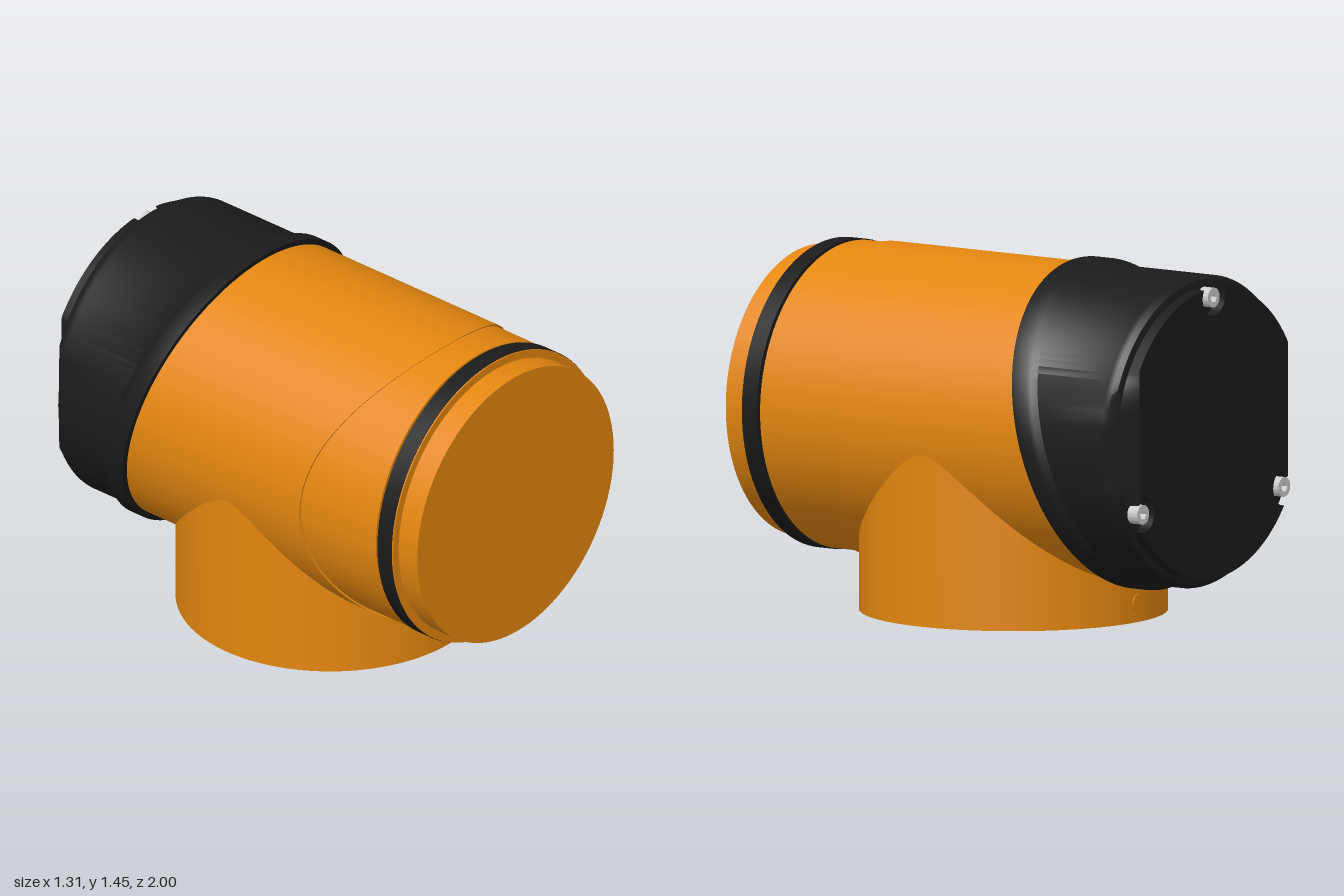
import * as THREE from 'three';
import { toCreasedNormals } from 'three/addons/utils/BufferGeometryUtils.js';

const orange = new THREE.MeshStandardMaterial({ color: 0xe3860f });
const black = new THREE.MeshStandardMaterial({ color: 0x1b1b1b });
const steel = new THREE.MeshStandardMaterial({ color: 0xcccccc });

const SLANT = 0.267; // lean of the cap's open edge
const AXIS_Y = 0.8; // height of the horizontal barrel

// Move every vertex of a geometry by a rule.
function reshape(geometry, rule) {
  const pos = geometry.attributes.position;
  const v = new THREE.Vector3();
  for (let i = 0; i < pos.count; i++) {
    v.fromBufferAttribute(pos, i);
    rule(v);
    pos.setXYZ(i, v.x, v.y, v.z);
  }
  return geometry;
}

function addMesh(parent, name, geometry, material) {
  const mesh = new THREE.Mesh(geometry, material);
  mesh.name = name;
  parent.add(mesh);
  return mesh;
}

// Round part from [radius, height] points, about y or laid along z.
function turned(profile, alongZ = true, rule = null) {
  const points = profile.map(([r, h]) => new THREE.Vector2(r, h));
  const g = new THREE.LatheGeometry(points, 128);
  if (alongZ) g.rotateX(Math.PI / 2);
  if (rule) reshape(g, rule);
  return toCreasedNormals(g, 0.6);
}

// Two flat chamfers on the sides of the cap's back.
function chamfer(v) {
  if (v.z > -0.899) return;
  const limit = 0.632 + (v.z + 0.9) * 1.3;
  v.x = THREE.MathUtils.clamp(v.x, -limit, limit);
}

export function createModel() {
  const model = new THREE.Group();
  const barrel = new THREE.Group();
  barrel.name = 'barrel';
  barrel.position.y = AXIS_Y;
  model.add(barrel);

  // Main tube: curved saddle edge in front, slanted edge under the cap
  addMesh(barrel, 'mainTube', turned(
    [[0.6, -0.53], [0.63, -0.53], [0.63, 0.4], [0.615, 0.4]], true, (v) => {
      if (v.z > 0) v.z += 0.27 * (v.y / 0.63) ** 2;
      else v.z += SLANT * v.y;
    }), orange);

  // Front sleeve with the closed spigot
  addMesh(barrel, 'frontSleeve', turned([
    [0.622, 0.3], [0.622, 0.805], [0.605, 0.805], [0.605, 0.893], [0.624, 0.893],
    [0.624, 0.899], [0.59, 0.899], [0.59, 1], [0, 1],
  ]), orange);

  addMesh(barrel, 'sealRing', turned(
    [[0.6, 0.817], [0.626, 0.817], [0.626, 0.893], [0.6, 0.893]]), black);

  // Cap with a slanted collar
  addMesh(barrel, 'cap', turned([
    [0, -0.95], [0.6, -0.95], [0.62, -0.945], [0.632, -0.925], [0.632, -0.9],
    [0.632, -0.617], [0.648, -0.595], [0.655, -0.577], [0.655, -0.507], [0.61, -0.507],
  ], true, (v) => {
    if (v.z > -0.65) v.z += SLANT * v.y;
    chamfer(v);
  }), black);

  // Raised back plate with three round notches for the bolts
  const R = 0.59, boltR = 0.55, notch = 0.075;
  const half = Math.acos((R * R + boltR * boltR - notch * notch) / (2 * R * boltR));
  const turn = Math.atan2(R * Math.sin(half), R * Math.cos(half) - boltR);
  const angles = [Math.PI / 2, Math.PI * 7 / 6, Math.PI * 11 / 6];
  const outline = new THREE.Shape();
  angles.forEach((a, i) => {
    const previous = i ? angles[i - 1] : angles[2] - Math.PI * 2;
    outline.absarc(0, 0, R, previous + half, a - half, false);
    outline.absarc(boltR * Math.cos(a), boltR * Math.sin(a), notch, a - turn, a + turn, true);
  });
  const plate = new THREE.ExtrudeGeometry(outline, { depth: 0.052, bevelEnabled: false, curveSegments: 40 });
  plate.translate(0, 0, -1);
  addMesh(barrel, 'backPlate', toCreasedNormals(reshape(plate, chamfer), 0.6), black);

  // Socket head bolts
  const head = new THREE.Shape().absarc(0, 0, 0.04, 0, Math.PI * 2);
  const socket = new THREE.Path();
  for (let i = 0; i <= 6; i++) {
    const a = i * Math.PI / 3;
    socket[i ? 'lineTo' : 'moveTo'](0.021 * Math.cos(a), 0.021 * Math.sin(a));
  }
  head.holes.push(socket);
  const headGeometry = toCreasedNormals(new THREE.ExtrudeGeometry(head, {
    depth: 0.05, bevelEnabled: false, curveSegments: 24,
  }), 0.6);
  const coreGeometry = new THREE.CylinderGeometry(0.03, 0.03, 0.02, 16).rotateX(Math.PI / 2);
  for (const a of angles) {
    const bolt = new THREE.Group();
    bolt.name = 'bolt';
    bolt.position.set(boltR * Math.cos(a), boltR * Math.sin(a), -1);
    addMesh(bolt, 'boltHead', headGeometry, steel);
    addMesh(bolt, 'boltSocketFloor', coreGeometry, steel).position.z = 0.038;
    barrel.add(bolt);
  }

  // Vertical branch pipe with a shallow recess below
  addMesh(model, 'branchPipe', turned([
    [0, 0.1], [0.587, 0.1], [0.587, 0], [0.621, 0], [0.621, 0.78],
  ], false), orange);

  // Small catch inside the rim and a button on the back
  addMesh(model, 'innerCatch', new THREE.BoxGeometry(0.08, 0.03, 0.04), orange)
    .position.set(0, 0.06, 0.575);
  addMesh(model, 'rimButton', new THREE.CylinderGeometry(0.035, 0.035, 0.02, 24).rotateX(Math.PI / 2), orange)
    .position.set(0, 0.08, -0.615);

  return model;
}
